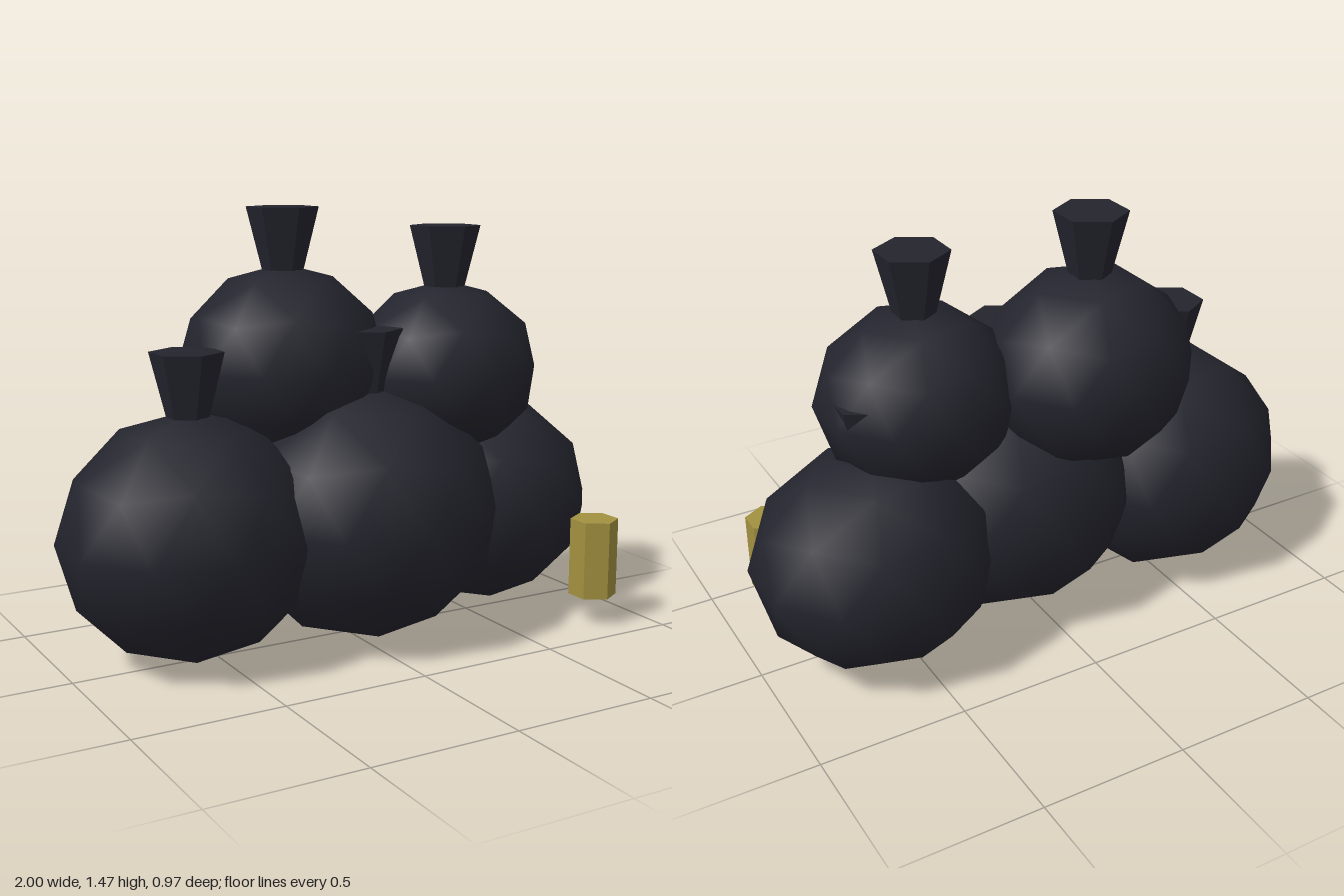
import * as THREE from 'three';

const bagMat = new THREE.MeshStandardMaterial({ color: 0x24242e });
bagMat.name = 'black plastic';
const canMat = new THREE.MeshStandardMaterial({ color: 0xa29140 });
canMat.name = 'dull gold';

// Six-sided prism or cone with flat faces
function hexPrism(topRadius, bottomRadius, height) {
  const geometry = new THREE.CylinderGeometry(topRadius, bottomRadius, height, 6).toNonIndexed();
  geometry.computeVertexNormals();
  return geometry;
}

// Low-poly ball with a vertex at each pole, stretched to the given radii
function bagBody(rx, ry, rz) {
  const geometry = new THREE.IcosahedronGeometry(1, 1);
  geometry.rotateZ(-Math.atan(2 / (1 + Math.sqrt(5))));
  geometry.scale(rx, ry, rz);
  return geometry;
}

// One bag: rounded body with a flared tied neck on top
function createBag(name, [x, y, z], [rx, ry, rz]) {
  const bag = new THREE.Group();
  bag.name = name;
  bag.position.set(x, y, z);

  const body = new THREE.Mesh(bagBody(rx, ry, rz), bagMat);
  body.name = 'bagBody';

  const neck = new THREE.Mesh(hexPrism(0.122, 0.07, 0.21), bagMat);
  neck.name = 'tiedNeck';
  neck.position.y = ry + 0.085;

  bag.add(body, neck);
  return bag;
}

export function createModel() {
  const model = new THREE.Group();
  model.name = 'bagPile';

  // Three bags on the ground, two stacked on top
  const bags = [
    ['rightBag', [-0.58, 0.42, -0.015], [0.44, 0.417, 0.395]],
    ['middleBag', [0.045, 0.442, 0.05], [0.476, 0.438, 0.433]],
    ['leftBag', [0.6, 0.4, -0.08], [0.42, 0.382, 0.373]],
    ['upperRightBag', [-0.165, 0.94, -0.15], [0.365, 0.34, 0.335]],
    ['upperLeftBag', [0.393, 0.9, -0.008], [0.342, 0.31, 0.312]],
  ];
  for (const bag of bags) model.add(createBag(...bag));

  // Can in front of the left bag
  const can = new THREE.Mesh(hexPrism(0.084, 0.084, 0.275), canMat);
  can.name = 'can';
  can.position.set(0.81, 0.242, 0.337);
  model.add(can);

  return model;
}
